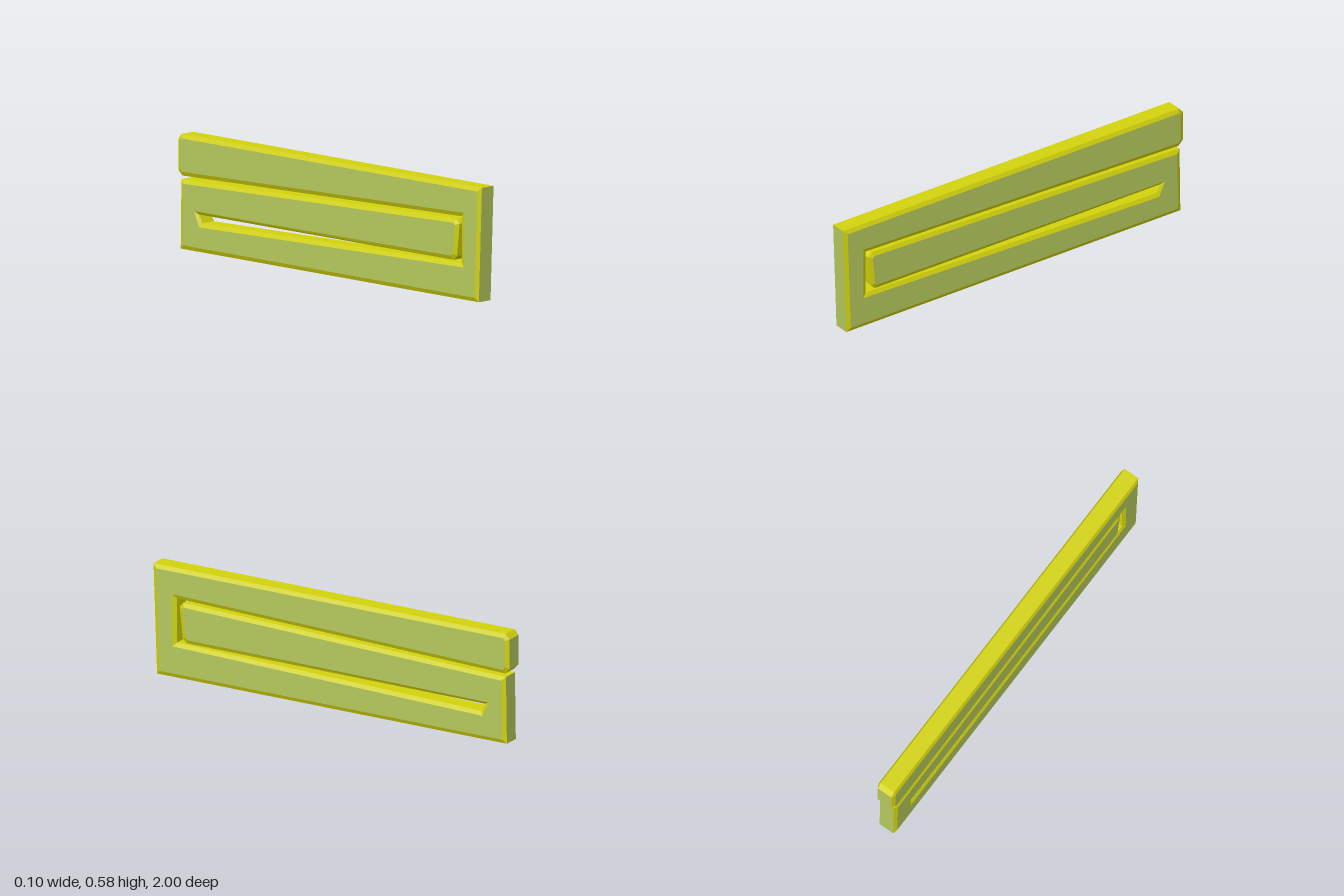
import * as THREE from 'three';

export function createModel() {
  const group = new THREE.Group();

  // Outline of the coiled bar as (z, y) points: outer rim, then back along the slot
  const outline = [
    [0.98, 0.0], [1.0, 0.555], [-0.978, 0.579], [-1.0, 0.554], [-1.0, 0.404], [-0.975, 0.378],
    [0.868, 0.402], [0.868, 0.178], [-0.842, 0.163], [-0.864, 0.203],
    [0.812, 0.185], [0.836, 0.206], [0.853, 0.364], [0.832, 0.386],
    [-0.98, 0.361], [-0.985, 0.024],
  ];
  const shape = new THREE.Shape(outline.map(([z, y]) => new THREE.Vector2(z, y)));

  // Thin slab with a chamfer round every edge
  const geometry = new THREE.ExtrudeGeometry(shape, {
    depth: 0.08, bevelThickness: 0.01, bevelSize: 0.02, bevelOffset: -0.02, bevelSegments: 1,
  });
  geometry.translate(0, 0, -0.04);
  geometry.rotateY(-Math.PI / 2);

  // Flat sides and outer end walls are green, the edges and slot walls yellow
  const pos = geometry.attributes.position;
  const nor = geometry.attributes.normal;
  geometry.clearGroups();
  for (let i = 0; i < pos.count; i += 3) {
    const side = Math.abs(nor.getX(i)) > 0.99;
    const end = Math.abs(nor.getZ(i)) > 0.98 && Math.abs(pos.getZ(i)) > 0.95;
    geometry.addGroup(i, 3, side || end ? 0 : 1);
  }

  const bar = new THREE.Mesh(geometry, [
    new THREE.MeshStandardMaterial({ color: 0xb4c85c }),
    new THREE.MeshStandardMaterial({ color: 0xd2d20c }),
  ]);
  bar.name = 'coiledBar';
  group.add(bar);
  return group;
}
